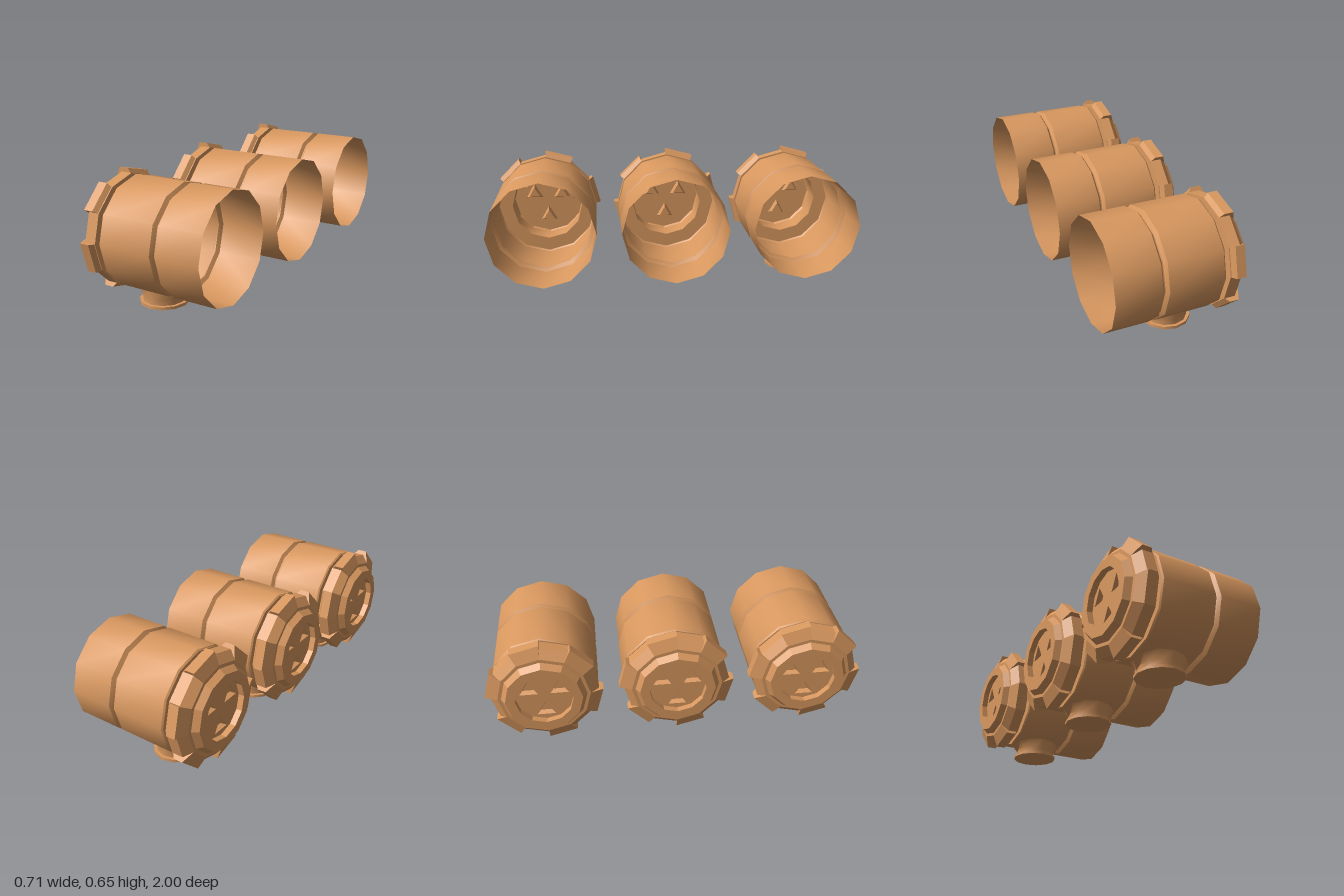
import * as THREE from 'three';
import { toCreasedNormals } from 'three/addons/utils/BufferGeometryUtils.js';

const SIDES = 12;
const AXIS_Y = 0.347;
const BARREL_R = 0.2825;
const smooth = new THREE.MeshStandardMaterial({ color: 0xd9985f, side: THREE.DoubleSide });
const flat = smooth.clone();
flat.flatShading = true;

function add(parent, name, geometry, material) {
  const mesh = new THREE.Mesh(geometry, material);
  mesh.name = name;
  parent.add(mesh);
  return mesh;
}

// Revolve [radius, x] points about the x axis
function turned(points, segments = SIDES, start = 0, length = Math.PI * 2) {
  const profile = points.map(([r, x]) => new THREE.Vector2(r, x));
  return new THREE.LatheGeometry(profile, segments, start, length).rotateZ(-Math.PI / 2);
}

// Raised grip on the cap rim: one revolved segment with two end faces
function addGrip(parent, start) {
  const points = [[0.2, -0.325], [0.24, -0.325], [0.306, -0.3], [0.306, -0.25], [0.277, -0.228], [0.2, -0.228]];
  const grip = new THREE.Group();
  grip.name = 'rimGrip';
  const span = Math.PI / 6;
  add(grip, 'gripFace', turned(points, 1, start, span), flat);
  const section = new THREE.Shape(points.map(([r, x]) => new THREE.Vector2(r, x)));
  for (const angle of [start, start + span]) {
    const end = new THREE.ShapeGeometry(section).rotateY(angle - Math.PI / 2).rotateZ(-Math.PI / 2);
    add(grip, 'gripEnd', end, flat);
  }
  parent.add(grip);
}

// Recessed end plate with three tapered triangular pockets
function createEndPlate() {
  const plate = new THREE.Group();
  plate.name = 'endPlate';
  const ngon = (cx, cy, r, n) => Array.from({ length: n }, (_, i) => {
    const a = Math.PI / 2 + (i / n) * Math.PI * 2;
    return new THREE.Vector2(cx + r * Math.cos(a), cy + r * Math.sin(a));
  });
  const disc = new THREE.Shape(ngon(0, 0, 0.15, SIDES));
  const depth = 0.025;
  for (let i = 0; i < 3; i++) {
    const a = Math.PI / 6 + (i * Math.PI * 2) / 3;
    const cx = 0.092 * Math.cos(a), cy = 0.092 * Math.sin(a);
    disc.holes.push(new THREE.Path(ngon(cx, cy, 0.055, 3)));
    const wall = new THREE.CylinderGeometry(0.055, 0.036, depth, 3, 1, true, Math.PI)
      .rotateX(Math.PI / 2).translate(cx, cy, -depth / 2);
    add(plate, 'pocketWall', wall, flat);
    const floor = new THREE.CircleGeometry(0.036, 3, Math.PI / 2).translate(cx, cy, -depth);
    add(plate, 'pocketFloor', floor, flat);
  }
  add(plate, 'plateDisc', new THREE.ShapeGeometry(disc), flat);
  plate.rotation.y = -Math.PI / 2;
  plate.position.x = -0.325;
  return plate;
}

// Neck of the stand: round below, widening along x where it meets the barrel
function createStandNeck() {
  const rows = [[0.109, 0.109], [0.109, 0.109], [0.145, 0.12]];
  const neck = new THREE.CylinderGeometry(1, 1, 1, SIDES, 2, true);
  const p = neck.attributes.position;
  for (let i = 0; i < p.count; i++) {
    const row = Math.round((p.getY(i) + 0.5) * 2);
    const x = p.getX(i) * rows[row][0], z = p.getZ(i) * rows[row][1];
    const y = [0.015, 0.045, AXIS_Y - BARREL_R + 0.268 * Math.abs(z)][row];
    p.setXYZ(i, x, y, z);
  }
  neck.computeVertexNormals();
  return toCreasedNormals(neck, 0.9);
}

function createUnit() {
  const unit = new THREE.Group();
  unit.name = 'canister';

  // Open barrel with its groove and narrow neck
  const body = new THREE.Group();
  body.name = 'body';
  body.position.y = AXIS_Y;
  unit.add(body);
  const barrel = turned([
    [0.2, -0.325], [0.2, -0.208], [0.275, -0.208], [BARREL_R, -0.2], [BARREL_R, 0.088],
    [0.262, 0.101], [0.262, 0.107], [BARREL_R, 0.121], [BARREL_R, 0.355],
  ]);
  add(body, 'barrel', toCreasedNormals(barrel, 0.6), smooth);

  // Cap: raised lip, rim and six alternating grips
  add(body, 'capLip', turned([[0.15, -0.325], [0.15, -0.357], [0.2, -0.357], [0.222, -0.325]]), flat);
  add(body, 'capRim', turned([[0.222, -0.325], [0.24, -0.325], [0.283, -0.288], [0.283, -0.228], [0.2, -0.228]]), flat);
  for (let i = 0; i < 6; i++) addGrip(body, (i * Math.PI) / 3);
  body.add(createEndPlate());

  // Stand
  const stand = new THREE.Group();
  stand.name = 'stand';
  stand.position.x = -0.048;
  unit.add(stand);
  add(stand, 'standNeck', createStandNeck(), smooth);
  const foot = new THREE.CylinderGeometry(0.125, 0.125, 0.015, SIDES).translate(0, 0.0075, 0);
  add(stand, 'foot', foot, smooth);
  return unit;
}

export function createModel() {
  const model = new THREE.Group();
  model.name = 'canisterRow';
  for (const z of [-0.694, 0, 0.694]) {
    const unit = createUnit();
    unit.position.z = z;
    model.add(unit);
  }
  return model;
}
